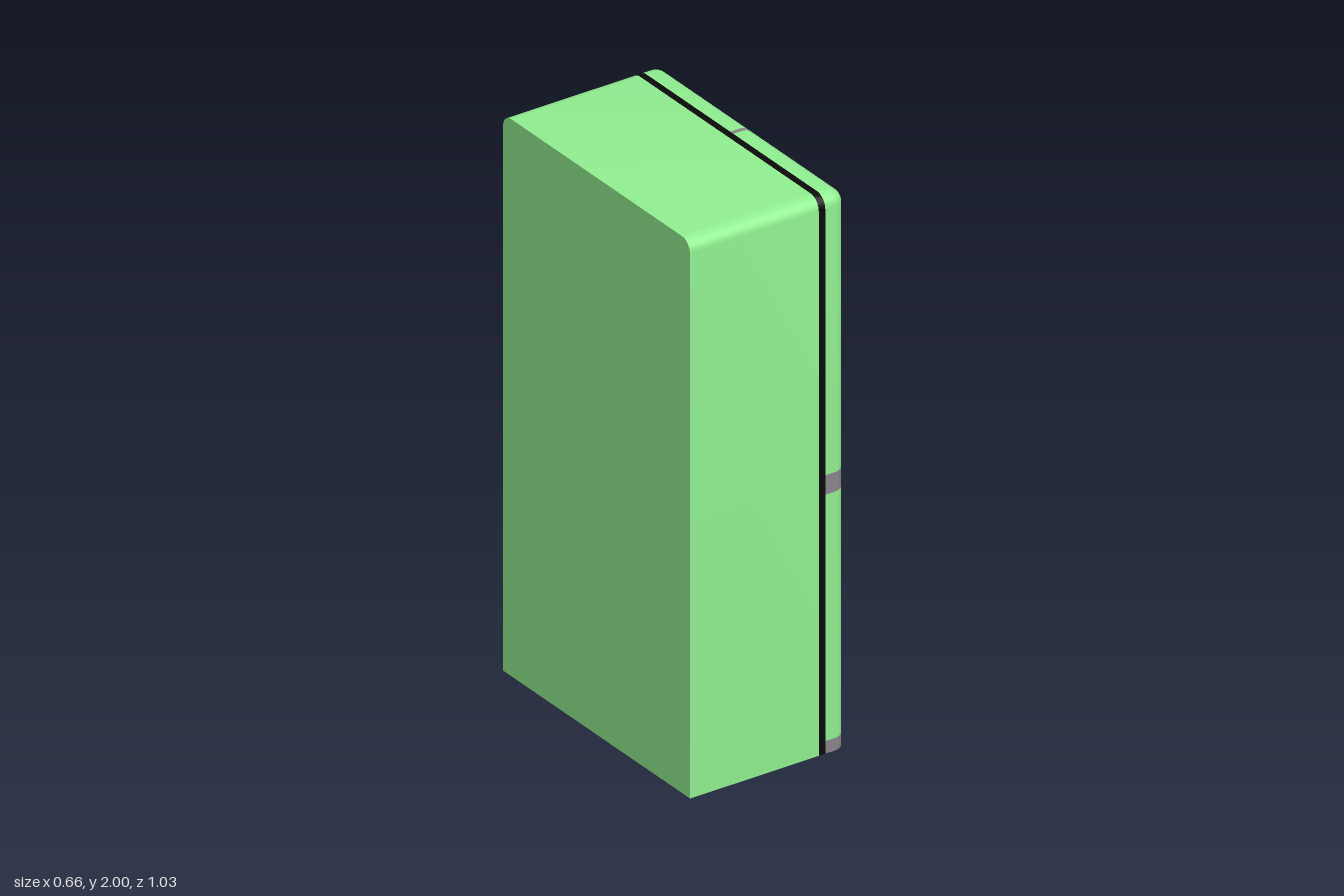
import * as THREE from 'three';
import { toCreasedNormals } from 'three/addons/utils/BufferGeometryUtils.js';

const W = 0.517, H = 2, R = 0.045, ARC = 8; // half width, height, edge radius
const BACK = -0.33, SEAL = 0.165, DOOR = 0.19, FRONT = 0.272;

// Outline in z and y; edges on the outer sides or top shrink by d, and the top corners are rounded.
function outline(z0, z1, y0, y1, d) {
  const left = z0 <= -W, right = z1 >= W, top = y1 >= H;
  const zl = left ? z0 + d : z0, zr = right ? z1 - d : z1, yt = top ? y1 - d : y1;
  const pts = [];
  const corner = (s, from) => {
    for (let i = 0; i <= ARC; i++) {
      const a = from + (i / ARC) * Math.PI / 2;
      pts.push([s * (W - R) + (R - d) * Math.sin(a), H - R + (R - d) * Math.cos(a)]);
    }
  };
  if (right && top) corner(1, 0); else pts.push([zr, yt]);
  pts.push([zr, y0], [zl, y0]);
  if (left && top) corner(-1, -Math.PI / 2); else pts.push([zl, yt]);
  return pts;
}

// Joins outlines along x, given as [x, inset] steps, and caps both ends.
function loft(z0, z1, y0, y1, steps) {
  const rings = steps.map(([x, d]) => outline(z0, z1, y0, y1, d).map(([z, y]) => [x, y, z]));
  const pos = [];
  const tri = (...corners) => corners.forEach((p) => pos.push(...p));
  const n = rings[0].length;
  for (let k = 0; k + 1 < rings.length; k++) {
    const a = rings[k], b = rings[k + 1];
    for (let i = 0; i < n; i++) {
      const j = (i + 1) % n;
      tri(a[i], a[j], b[j]);
      tri(a[i], b[j], b[i]);
    }
  }
  const back = rings[0], front = rings[rings.length - 1];
  for (let i = 1; i + 1 < n; i++) {
    tri(back[0], back[i + 1], back[i]);
    tri(front[0], front[i], front[i + 1]);
  }
  const geo = new THREE.BufferGeometry();
  geo.setAttribute('position', new THREE.Float32BufferAttribute(pos, 3));
  return toCreasedNormals(geo, 0.6);
}

export function createModel() {
  const model = new THREE.Group();
  model.name = 'refrigerator';
  const green = new THREE.MeshStandardMaterial({ color: 0x90ee90 });
  const grey = new THREE.MeshStandardMaterial({ color: 0x8a848a });
  const black = new THREE.MeshStandardMaterial({ color: 0x0a0a0a });

  const add = (name, geo, mat, parent = model) => {
    const mesh = new THREE.Mesh(geo, mat);
    mesh.name = name;
    parent.add(mesh);
    return mesh;
  };

  // Cabinet and door seal
  add('cabinet', loft(-W, W, 0, H, [[BACK, 0], [SEAL, 0]]), green);
  add('doorSeal', loft(-W, W, 0, H, [[SEAL, 0], [DOOR, 0]]), black);

  // Front panels with rounded outer edges
  const steps = [[DOOR, 0]];
  for (let i = 0; i <= ARC; i++) {
    const a = (i / ARC) * Math.PI / 2;
    steps.push([FRONT - R + R * Math.sin(a), R * (1 - Math.cos(a))]);
  }
  const panel = (name, z0, z1, y0, y1, mat) => add(name, loft(z0, z1, y0, y1, steps), mat);
  const gap = 0.009;
  panel('kickPlate', -W, W, 0, 0.045, grey);
  panel('freezerDrawer', -W, W, 0.045, 0.93, green);
  panel('middleBand', -W, W, 0.93, 1, grey);
  panel('leftDoor', gap, W, 1, H, green);
  panel('rightDoor', -W, -gap, 1, H, green);
  panel('doorGap', -gap, gap, 1, H, grey);

  // Handle: a bar held by two bent brackets, centred on its own length
  const width = 0.036, half = 0.2925, barHalf = 0.218;
  const slab = (points) => {
    const shape = new THREE.Shape(points.map(([x, y]) => new THREE.Vector2(x, y)));
    return new THREE.ExtrudeGeometry(shape, { depth: width, bevelEnabled: false })
      .translate(0, 0, -width / 2);
  };
  const handle = (name, y, z, turn) => {
    const group = new THREE.Group();
    group.name = name;
    group.position.set(0, y, z);
    group.rotation.x = turn;
    const bar = new THREE.BoxGeometry(0.028, barHalf * 2, width).translate(0.315, 0, 0);
    add('handleBar', bar, green, group);
    for (const s of [1, -1]) {
      const bracket = slab([
        [FRONT - 0.004, s * half], [0.32, s * half], [0.32, s * 0.262], [0.329, s * barHalf],
        [0.301, s * barHalf], [0.293, s * 0.262], [FRONT - 0.004, s * 0.262],
      ]);
      add('handleBracket', bracket, grey, group);
    }
    model.add(group);
  };
  handle('leftDoorHandle', 1.433, 0.096, 0);
  handle('rightDoorHandle', 1.433, -0.09, 0);
  handle('drawerHandle', 0.8, -0.002, Math.PI / 2);

  return model;
}
